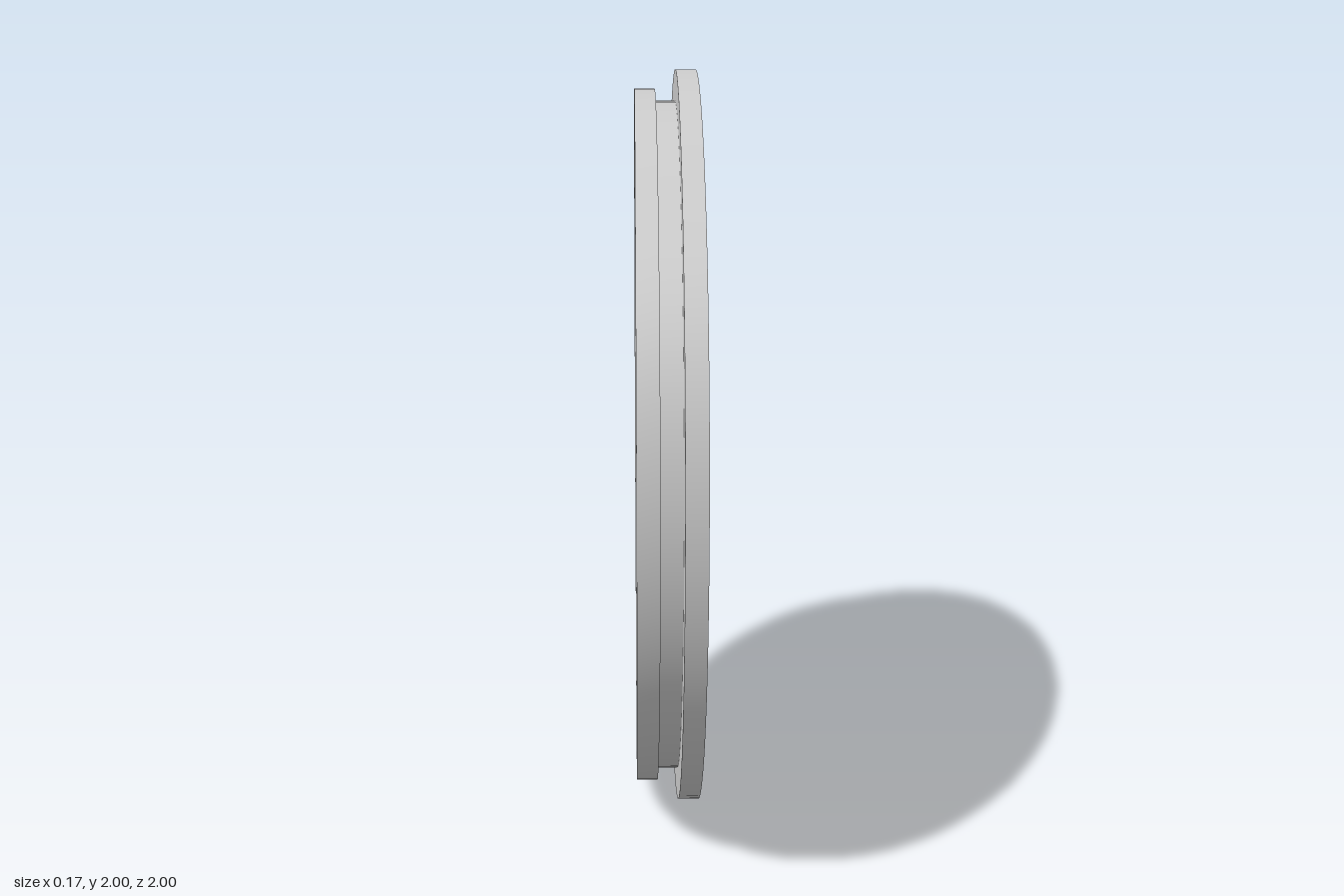
import * as THREE from 'three';
import { toCreasedNormals } from 'three/addons/utils/BufferGeometryUtils.js';

const SEGMENTS = 128;
const LAYER = 0.055; // thickness of each of the three layers

export function createModel() {
  const model = new THREE.Group();
  model.name = 'lid';
  const material = new THREE.MeshStandardMaterial({ color: 0xcccccc });

  // Adds a round part whose axis is turned from y to +x
  const addRound = (name, geometry, x) => {
    const mesh = new THREE.Mesh(geometry, material);
    mesh.name = name;
    mesh.rotation.z = -Math.PI / 2;
    mesh.position.set(x, 1, 0);
    model.add(mesh);
  };

  // Wide outer plate and the narrower solid neck behind it
  addRound('facePlate', new THREE.CylinderGeometry(1, 1, LAYER, SEGMENTS), LAYER);
  addRound('neck', new THREE.CylinderGeometry(0.917, 0.917, LAYER, SEGMENTS), 0);

  // Open retaining ring around the recess on the inner side
  const inner = 0.91, outer = 0.949, h = LAYER / 2;
  const profile = [[inner, h], [inner, -h], [outer, -h], [outer, h], [inner, h]]
    .map(([r, y]) => new THREE.Vector2(r, y));
  const ring = toCreasedNormals(new THREE.LatheGeometry(profile, SEGMENTS), 0.5);
  addRound('retainingRing', ring, -LAYER);

  return model;
}
